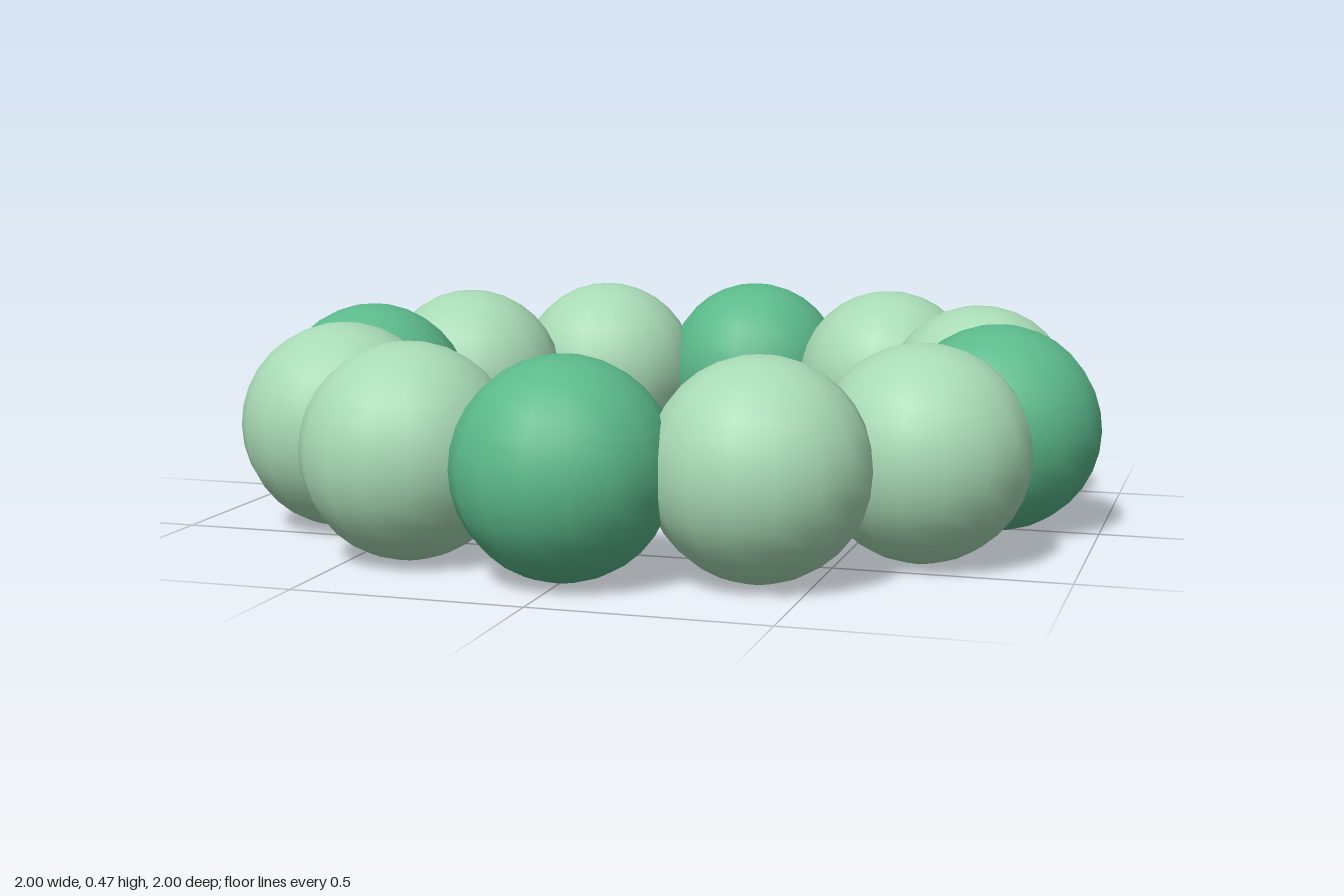
import * as THREE from 'three';

const BEADS = 12;
const BEAD_RADIUS = 0.233;
const RING_RADIUS = 0.767;

export function createModel() {
  const bracelet = new THREE.Group();
  bracelet.name = 'beadRing';

  const lightGreen = new THREE.MeshStandardMaterial({ color: 0xa8dab5 });
  const darkGreen = new THREE.MeshStandardMaterial({ color: 0x5bb98b });
  const beadGeometry = new THREE.SphereGeometry(BEAD_RADIUS, 16, 16);

  // Overlapping beads in a circle; every third one is dark
  for (let i = 0; i < BEADS; i++) {
    const angle = (i / BEADS) * Math.PI * 2;
    const isDark = i % 3 === 0;
    const bead = new THREE.Mesh(beadGeometry, isDark ? darkGreen : lightGreen);
    bead.name = isDark ? `darkBead${i + 1}` : `lightBead${i + 1}`;
    bead.position.set(Math.cos(angle) * RING_RADIUS, BEAD_RADIUS, Math.sin(angle) * RING_RADIUS);
    bracelet.add(bead);
  }

  return bracelet;
}
